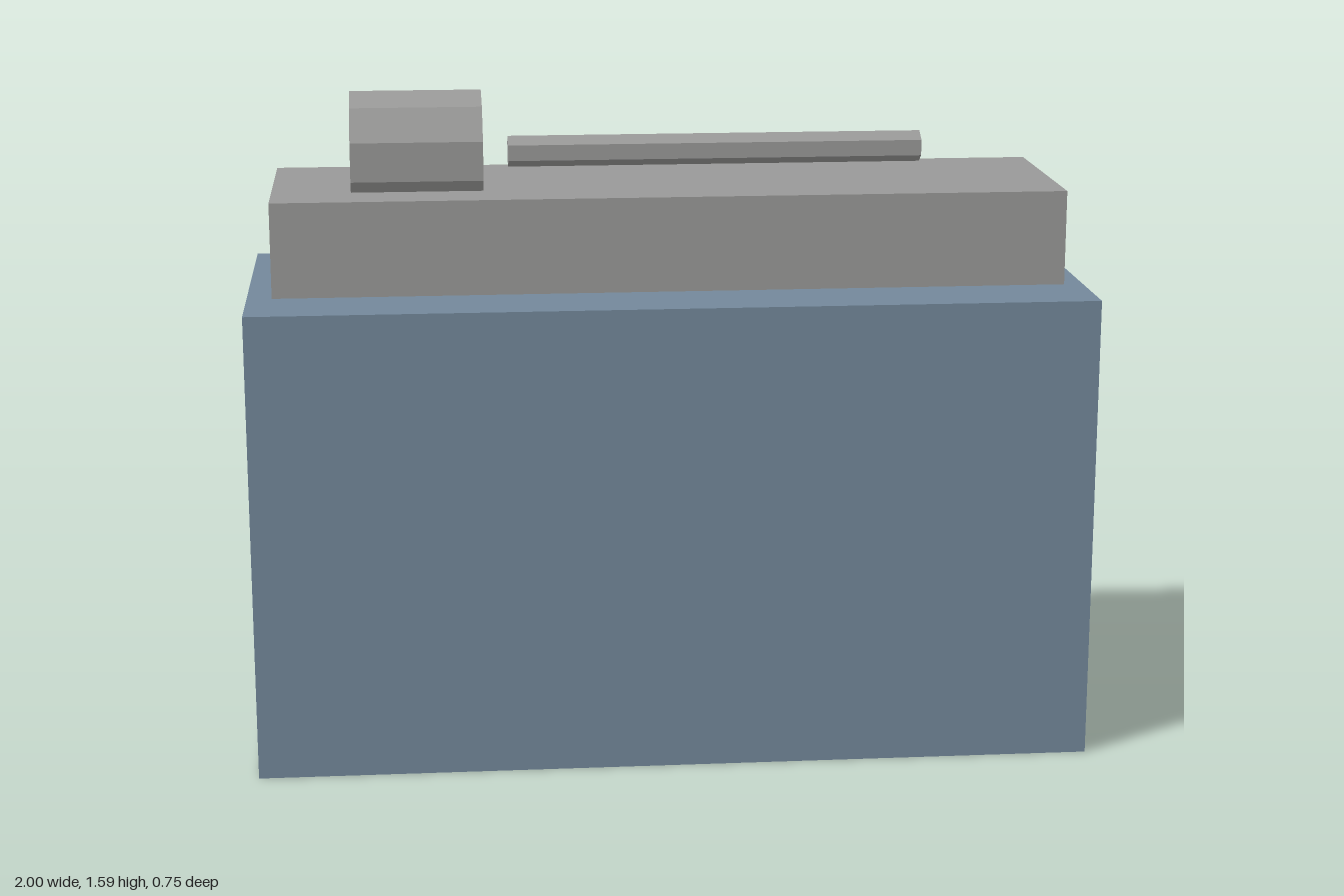
import * as THREE from 'three';

const steelBlue = new THREE.MeshStandardMaterial({ color: 0x73889b });
steelBlue.name = 'steelBlue';
const metalGrey = new THREE.MeshStandardMaterial({ color: 0x999998 });
metalGrey.name = 'metalGrey';
for (const material of [steelBlue, metalGrey]) material.flatShading = true;

export function createModel() {
  const group = new THREE.Group();

  const add = (name, geometry, material, x, y) => {
    const mesh = new THREE.Mesh(geometry, material);
    mesh.name = name;
    mesh.position.set(x, y, 0);
    group.add(mesh);
  };

  // Faceted cylinder lying along x, with one corner pointing up
  const lying = (radius, length, sides) =>
    new THREE.CylinderGeometry(radius, radius, length, sides, 1, false, Math.PI / 2)
      .rotateZ(Math.PI / 2);

  // Large base cabinet
  add('cabinet', new THREE.BoxGeometry(2, 1.125, 0.75), steelBlue, 0, 0.5625);

  // Machine bed, resting just above the cabinet
  add('bed', new THREE.BoxGeometry(1.875, 0.225, 0.5), metalGrey, 0, 1.2525);

  // Ten-sided drum, partly sunk into the bed
  add('headstock', lying(0.15, 0.3125, 10), metalGrey, -0.594, 1.4385);

  // Slim six-sided rod in line with the drum
  add('rod', lying(0.0375, 1, 6), metalGrey, 0.125, 1.4385);

  return group;
}
